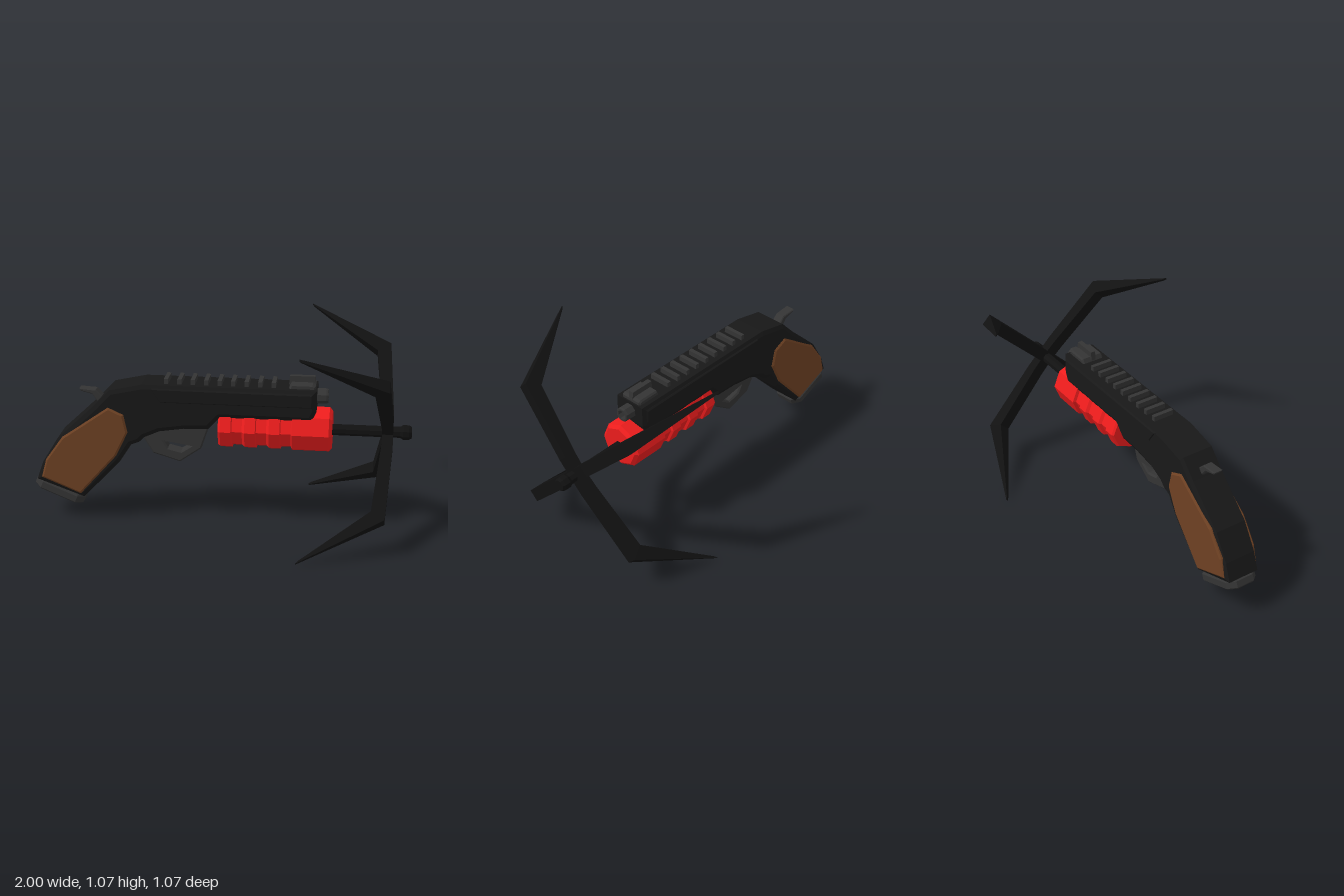
import * as THREE from 'three';

const material = (color) => new THREE.MeshStandardMaterial({ color, flatShading: true });

export function createModel() {
  const model = new THREE.Group();
  const black = material(0x181818), limbBlack = material(0x111111), grey = material(0x343434);
  const red = material(0xee1d1d), brown = material(0x6e4123);
  const AXIS_Y = 0.54;

  function add(name, geometry, mat, parent = model) {
    const mesh = new THREE.Mesh(geometry, mat);
    mesh.name = name;
    parent.add(mesh);
    return mesh;
  }

  // Side outline extruded symmetrically across z, with an inward bevel
  function plate(points, half, bevel = 0, inset = bevel, hole = null) {
    const shape = new THREE.Shape(points.map(([x, y]) => new THREE.Vector2(x, y)));
    if (hole) shape.holes.push(new THREE.Path(hole.map(([x, y]) => new THREE.Vector2(x, y))));
    const depth = 2 * (half - bevel);
    const g = new THREE.ExtrudeGeometry(shape, {
      depth, bevelEnabled: bevel > 0, bevelThickness: bevel,
      bevelSize: inset, bevelOffset: -inset, bevelSegments: 1,
    });
    return g.translate(0, 0, -depth / 2);
  }

  // Eight-sided turned part along x; profile is [x, radius]
  function turned(profile, y, twist = 0) {
    const pts = profile.map(([x, r]) => new THREE.Vector2(r, x));
    return new THREE.LatheGeometry(pts, 8).rotateY(twist).rotateZ(-Math.PI / 2).translate(0, y, 0);
  }

  // Receiver and grip core
  add('body', plate([
    [-0.975, 0.222], [-0.94, 0.32], [-0.856, 0.457], [-0.658, 0.644], [-0.572, 0.735],
    [-0.40, 0.773], [0.508, 0.773], [0.508, 0.66], [0.485, 0.61], [0.01, 0.61],
    [-0.05, 0.545], [-0.18, 0.54], [-0.31, 0.52], [-0.39, 0.484], [-0.417, 0.457],
    [-0.46, 0.44], [-0.524, 0.34], [-0.722, 0.13],
  ].reverse(), 0.098, 0.012, 0.022), black);

  // Raised receiver side panels
  add('sidePanels', plate([[-0.353, 0.757], [-0.305, 0.68], [0.49, 0.68], [0.49, 0.757]],
    0.103, 0.008, 0.008), black);

  // Wooden grip panels over a slightly larger dark border
  const panel = [
    [-0.578, 0.644], [-0.497, 0.607], [-0.476, 0.51], [-0.54, 0.377],
    [-0.738, 0.152], [-0.947, 0.238], [-0.92, 0.34], [-0.829, 0.468],
  ].reverse();
  add('gripPanels', plate(panel, 0.107, 0.008, 0.01), brown);

  // Butt cap: octagonal plan, tilted to the end of the grip
  const plan = [[-0.14, -0.05], [-0.1, -0.09], [0.1, -0.09], [0.14, -0.05],
    [0.14, 0.05], [0.1, 0.09], [-0.1, 0.09], [-0.14, 0.05]];
  const cap = add('buttCap', plate(plan, 0.025, 0.008, 0.008).rotateX(-Math.PI / 2), grey);
  cap.position.set(-0.86, 0.15, 0);
  cap.rotation.z = -Math.atan2(0.105, 0.255);

  // Hammer
  add('hammer', plate([
    [-0.743, 0.72], [-0.735, 0.705], [-0.675, 0.69], [-0.635, 0.63],
    [-0.595, 0.65], [-0.615, 0.675], [-0.655, 0.715],
  ], 0.027, 0.005), grey);

  // Trigger guard with its opening, and trigger
  add('triggerGuard', plate([
    [-0.41, 0.47], [-0.353, 0.377], [-0.21, 0.334], [-0.096, 0.414], [-0.05, 0.55],
    [-0.18, 0.56], [-0.32, 0.53],
  ], 0.036, 0.008, 0.008, [
    [-0.302, 0.46], [-0.257, 0.53], [-0.105, 0.545], [-0.139, 0.436], [-0.203, 0.393], [-0.273, 0.41],
  ]), grey);
  add('trigger', plate([
    [-0.28, 0.53], [-0.285, 0.48], [-0.30, 0.44], [-0.285, 0.435], [-0.262, 0.48], [-0.24, 0.535],
  ], 0.015), grey);

  // Top rail teeth
  const rail = new THREE.Group();
  rail.name = 'topRail';
  model.add(rail);
  for (let i = 0; i < 9; i++) {
    add('railTooth', new THREE.BoxGeometry(0.022, 0.034, 0.116), grey, rail)
      .position.set(-0.275 + i * 0.07, 0.783, 0);
  }

  // Front sight: wide base and thin blade
  add('sightBase', plate([[0.36, 0.765], [0.50, 0.765], [0.50, 0.788], [0.485, 0.797], [0.375, 0.797]].map((p) => p),
    0.062, 0.008), grey);
  add('sightBlade', plate([[0.36, 0.78], [0.50, 0.78], [0.495, 0.828], [0.365, 0.828]], 0.013), grey);

  // Hollow muzzle
  add('muzzle', turned([[0.48, 0.04], [0.555, 0.04], [0.565, 0.036], [0.565, 0.026], [0.515, 0.026], [0.515, 0]],
    0.722, Math.PI / 8), grey);

  // Ribbed fore-end
  const ribs = [[0, 0], [0, 0.112]];
  for (let i = 0; i < 3; i++) {
    const x = i * 0.127;
    ribs.push([x + 0.012, 0.12], [x + 0.068, 0.12], [x + 0.072, 0.106], [x + 0.125, 0.106]);
  }
  ribs.push([0.385, 0.123], [0.575, 0.123], [0.59, 0.105], [0.59, 0]);
  add('foreEnd', turned(ribs, AXIS_Y), red);

  // Launch rod with end knob
  add('rod', turned([
    [0.55, 0], [0.55, 0.029], [0.94, 0.029], [0.955, 0.038], [0.985, 0.038], [1.0, 0.03], [1.0, 0],
  ], AXIS_Y, Math.PI / 8), limbBlack);

  // One hook limb from rectangular sections: [outer x, outer reach, inner x, inner reach, half width]
  function limbGeometry() {
    const sections = [
      [0.904, 0, 0.85, 0, 0.033], [0.904, 0.1, 0.845, 0.1, 0.033],
      [0.877, 0.505, 0.807, 0.46, 0.033], [0.444, 0.75, 0.455, 0.735, 0.006],
    ];
    const rings = sections.map(([ox, os, ix, is, w]) =>
      [[ox, os, -w], [ox, os, w], [ix, is, w], [ix, is, -w]]);
    const pos = [];
    const quad = (a, b, c, d) => pos.push(...a, ...b, ...c, ...a, ...c, ...d);
    for (let i = 0; i < rings.length - 1; i++) {
      for (let j = 0; j < 4; j++) {
        const k = (j + 1) % 4;
        quad(rings[i][j], rings[i + 1][j], rings[i + 1][k], rings[i][k]);
      }
    }
    const tip = rings[rings.length - 1];
    quad(tip[0], tip[3], tip[2], tip[1]);
    quad(...rings[0]);
    const g = new THREE.BufferGeometry();
    g.setAttribute('position', new THREE.Float32BufferAttribute(pos, 3));
    g.computeVertexNormals();
    return g;
  }

  // Four limbs in a diagonal cross
  const limb = limbGeometry();
  const limbMaterial = limbBlack.clone();
  limbMaterial.side = THREE.DoubleSide;
  const hook = new THREE.Group();
  hook.name = 'grapplingHook';
  hook.position.y = AXIS_Y;
  model.add(hook);
  for (let i = 0; i < 4; i++) {
    add('hookLimb', limb, limbMaterial, hook).rotation.x = Math.PI / 4 + i * Math.PI / 2;
  }

  return model;
}
